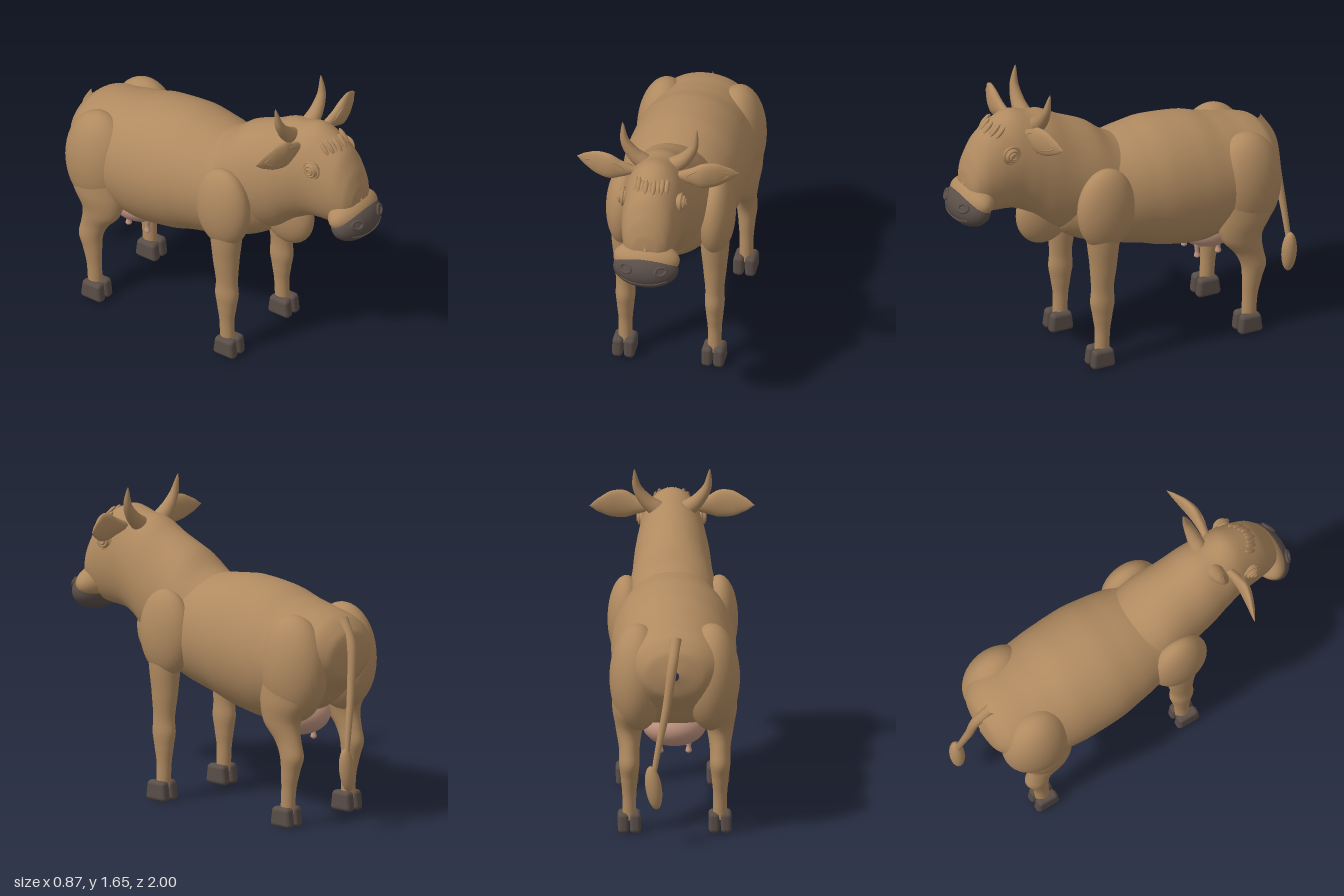
import * as THREE from 'three';
import { RoundedBoxGeometry } from 'three/addons/geometries/RoundedBoxGeometry.js';

const V = (x, y, z) => new THREE.Vector3(x, y, z);

// Smooth skin through elliptical sections [x, y, z, radius a, radius b], ascending along the axis
function loft(rows, axis, steps = 48, n = 40) {
  const centre = new THREE.CatmullRomCurve3(rows.map(r => V(r[0], r[1], r[2])), false, 'centripetal');
  const radii = new THREE.CatmullRomCurve3(rows.map(r => V(r[3], r[4], 0)), false, 'catmullrom', 0.4);
  const pos = [], idx = [];
  for (let i = 0; i <= steps; i++) {
    const c = centre.getPoint(i / steps), r = radii.getPoint(i / steps);
    const a = Math.max(r.x, 0.001), b = Math.max(r.y, 0.001);
    for (let j = 0; j < n; j++) {
      const t = j / n * Math.PI * 2, ca = a * Math.cos(t), sb = b * Math.sin(t);
      if (axis === 'z') pos.push(c.x + ca, c.y + sb, c.z);
      else if (axis === 'y') pos.push(c.x + ca, c.y, c.z - sb);
      else pos.push(c.x, c.y + ca, c.z + sb);
      if (i < steps) {
        const p = i * n + j, q = i * n + (j + 1) % n;
        idx.push(p, q, q + n, p, q + n, p + n);
      }
    }
  }
  const g = new THREE.BufferGeometry();
  g.setAttribute('position', new THREE.Float32BufferAttribute(pos, 3));
  g.setIndex(idx);
  g.computeVertexNormals();
  return g;
}

// Lengthwise body rows given as [z, top, bottom, half width]
const bodyLoft = rows => loft(rows.map(([z, t, b, w]) => [0, (t + b) / 2, z, w, (t - b) / 2]), 'z', 64, 48);

function ellipsoid(x, y, z, rx, ry, rz, rotX = 0, rotZ = 0) {
  return new THREE.SphereGeometry(1, 36, 24).scale(rx, ry, rz).rotateX(rotX).rotateZ(rotZ).translate(x, y, z);
}

// Tube whose radius follows a function of its length
function taperedTube(points, radius) {
  const curve = new THREE.CatmullRomCurve3(points);
  const seg = 28, n = 16, g = new THREE.TubeGeometry(curve, seg, 1, n);
  const p = g.attributes.position, v = V(0, 0, 0);
  for (let k = 0; k < p.count; k++) {
    const t = Math.floor(k / (n + 1)) / seg, c = curve.getPointAt(t);
    v.fromBufferAttribute(p, k).sub(c).multiplyScalar(radius(t)).add(c);
    p.setXYZ(k, v.x, v.y, v.z);
  }
  return g;
}

function mirrored(geo) {
  const g = geo.clone().toNonIndexed();
  g.scale(-1, 1, 1);
  for (const name of ['position', 'normal']) {
    const a = g.attributes[name], u = V(0, 0, 0), w = V(0, 0, 0);
    for (let i = 0; i < a.count; i += 3) {
      u.fromBufferAttribute(a, i + 1);
      w.fromBufferAttribute(a, i + 2);
      a.setXYZ(i + 1, w.x, w.y, w.z);
      a.setXYZ(i + 2, u.x, u.y, u.z);
    }
  }
  return g;
}

export function createModel() {
  const model = new THREE.Group();
  model.name = 'cow';
  const mat = (name, color) => Object.assign(new THREE.MeshStandardMaterial({ color }), { name });
  const hide = mat('tan hide', 0xb08a60);
  const dark = mat('dark hoof', 0x5a4e48);
  const pink = mat('udder pink', 0xc09480);

  const add = (name, geo, m = hide) => {
    const mesh = new THREE.Mesh(geo, m);
    mesh.name = name;
    model.add(mesh);
  };
  const pair = (name, geo, m = hide) => {
    add(name + 'Left', geo, m);
    add(name + 'Right', mirrored(geo), m);
  };

  // Barrel, from rump to chest
  add('body', bodyLoft([
    [-0.9, 0.95, 0.9, 0.02], [-0.875, 1.05, 0.8, 0.16], [-0.8, 1.12, 0.72, 0.25], [-0.7, 1.15, 0.62, 0.29],
    [-0.55, 1.185, 0.53, 0.315], [-0.4, 1.23, 0.5, 0.328], [-0.2, 1.25, 0.53, 0.33], [-0.05, 1.235, 0.575, 0.31],
    [0.1, 1.21, 0.61, 0.28], [0.25, 1.18, 0.66, 0.24], [0.38, 1.1, 0.74, 0.15], [0.42, 0.98, 0.88, 0.02]]));

  // Neck running into the head
  add('neckAndHead', bodyLoft([
    [-0.05, 1.18, 0.75, 0.2], [0.08, 1.24, 0.7, 0.235], [0.2, 1.33, 0.7, 0.235], [0.35, 1.4, 0.74, 0.215],
    [0.45, 1.455, 0.79, 0.205], [0.55, 1.475, 0.88, 0.19], [0.65, 1.5, 0.93, 0.172], [0.75, 1.46, 0.94, 0.158],
    [0.83, 1.4, 0.95, 0.142], [0.89, 1.3, 0.98, 0.115], [0.92, 1.21, 1.04, 0.07], [0.928, 1.14, 1.12, 0.005]]));
  add('dewlap', ellipsoid(0, 0.86, 0.44, 0.085, 0.19, 0.165, -0.2));

  // Shoulders and haunches
  pair('shoulder', ellipsoid(0.245, 0.915, 0.2, 0.1, 0.235, 0.165));
  pair('haunch', ellipsoid(0.195, 0.85, -0.655, 0.15, 0.29, 0.2));

  // Legs, from hoof to hip
  pair('frontLeg', loft([
    [0.24, 0.07, 0.225, 0.037, 0.04], [0.24, 0.2, 0.22, 0.037, 0.042], [0.24, 0.29, 0.22, 0.045, 0.055],
    [0.24, 0.37, 0.22, 0.052, 0.068], [0.24, 0.45, 0.22, 0.05, 0.063], [0.24, 0.58, 0.215, 0.062, 0.075],
    [0.24, 0.72, 0.215, 0.075, 0.09], [0.24, 0.9, 0.21, 0.08, 0.12]], 'y'));
  pair('hindLeg', loft([
    [0.24, 0.07, -0.65, 0.037, 0.04], [0.24, 0.2, -0.658, 0.037, 0.042], [0.24, 0.3, -0.67, 0.045, 0.055],
    [0.24, 0.38, -0.68, 0.054, 0.07], [0.24, 0.46, -0.655, 0.055, 0.08], [0.24, 0.56, -0.61, 0.072, 0.115],
    [0.23, 0.68, -0.63, 0.1, 0.16], [0.21, 0.85, -0.66, 0.12, 0.19]], 'y'));

  // Cloven hooves, narrower at the top
  for (const [name, z] of [['frontHoof', 0.235], ['hindHoof', -0.642]]) {
    for (const x of [0.208, 0.272]) {
      const hoof = new RoundedBoxGeometry(0.057, 0.108, 0.142, 4, 0.022);
      const p = hoof.attributes.position;
      for (let i = 0; i < p.count; i++) p.setZ(i, p.getZ(i) * (0.9 - p.getY(i) * 1.9));
      pair(name, hoof.translate(x, 0.054, z), dark);
    }
  }

  // Muzzle, nostrils and mouth
  add('upperMuzzle', ellipsoid(0, 1.045, 0.872, 0.178, 0.093, 0.095));
  add('nose', ellipsoid(0, 1.0, 0.895, 0.175, 0.107, 0.105), dark);
  pair('nostril', new THREE.TorusGeometry(0.025, 0.009, 10, 28).scale(1.25, 0.85, 1)
    .rotateX(-0.3).rotateY(0.45).rotateZ(0.2).translate(0.095, 1.035, 0.975), dark);
  add('mouth', taperedTube([V(-0.125, 0.968, 0.963), V(-0.07, 0.956, 0.984), V(0, 0.95, 0.989),
    V(0.07, 0.956, 0.984), V(0.125, 0.968, 0.963)], () => 0.004), dark);

  // Eyes with ringed lids
  pair('eye', ellipsoid(0.148, 1.315, 0.715, 0.033, 0.045, 0.045));
  for (const [r, x] of [[0.046, 0.155], [0.03, 0.171], [0.016, 0.178]]) {
    pair('eyelid', new THREE.TorusGeometry(r, 0.007, 10, 32).rotateY(Math.PI / 2).translate(x, 1.315, 0.715));
  }

  // Leaf-shaped ears with an inner ridge
  pair('ear', loft([
    [0.12, 1.41, 0.6, 0.02, 0.02], [0.18, 1.415, 0.608, 0.045, 0.026], [0.25, 1.425, 0.61, 0.074, 0.03],
    [0.32, 1.43, 0.595, 0.07, 0.024], [0.39, 1.43, 0.572, 0.037, 0.012], [0.435, 1.43, 0.556, 0.002, 0.002]], 'x'));
  const ridge = new THREE.CatmullRomCurve3([V(0.17, 1.42, 0.628), V(0.23, 1.465, 0.63), V(0.3, 1.467, 0.618),
    V(0.385, 1.43, 0.584), V(0.3, 1.39, 0.618), V(0.23, 1.388, 0.63)], true);
  pair('earRidge', new THREE.TubeGeometry(ridge, 48, 0.005, 8, true));

  // Curved horns
  pair('horn', taperedTube([V(0.08, 1.42, 0.53), V(0.135, 1.465, 0.53), V(0.185, 1.54, 0.525), V(0.2, 1.645, 0.51)],
    t => 0.046 * Math.pow(1 - t, 0.75) + 0.001));

  // Forelock tufts
  for (let i = -4; i <= 4; i++) {
    const x = i * 0.021;
    add('forelock', ellipsoid(x, 1.43 + (i % 2 ? 0.006 : -0.006), 0.79 - 6 * x * x, 0.013, 0.042, 0.012, -0.75));
  }

  // Udder and teats
  add('udder', ellipsoid(0, 0.55, -0.52, 0.17, 0.112, 0.165), pink);
  for (const z of [-0.43, -0.555]) {
    pair('teat', loft([[0.075, 0.4, z, 0.004, 0.004], [0.075, 0.412, z, 0.017, 0.017],
      [0.075, 0.44, z, 0.012, 0.012], [0.075, 0.485, z, 0.018, 0.018]], 'y', 16, 16), pink);
  }

  // Tail and tuft
  add('tail', taperedTube([V(-0.005, 1.11, -0.82), V(0.015, 0.98, -0.9), V(0.045, 0.77, -0.925),
    V(0.09, 0.54, -0.945), V(0.115, 0.4, -0.955)], t => 0.03 - 0.016 * t));
  add('tailTuft', ellipsoid(0.115, 0.33, -0.957, 0.043, 0.12, 0.04, 0, -0.15));

  return model;
}
